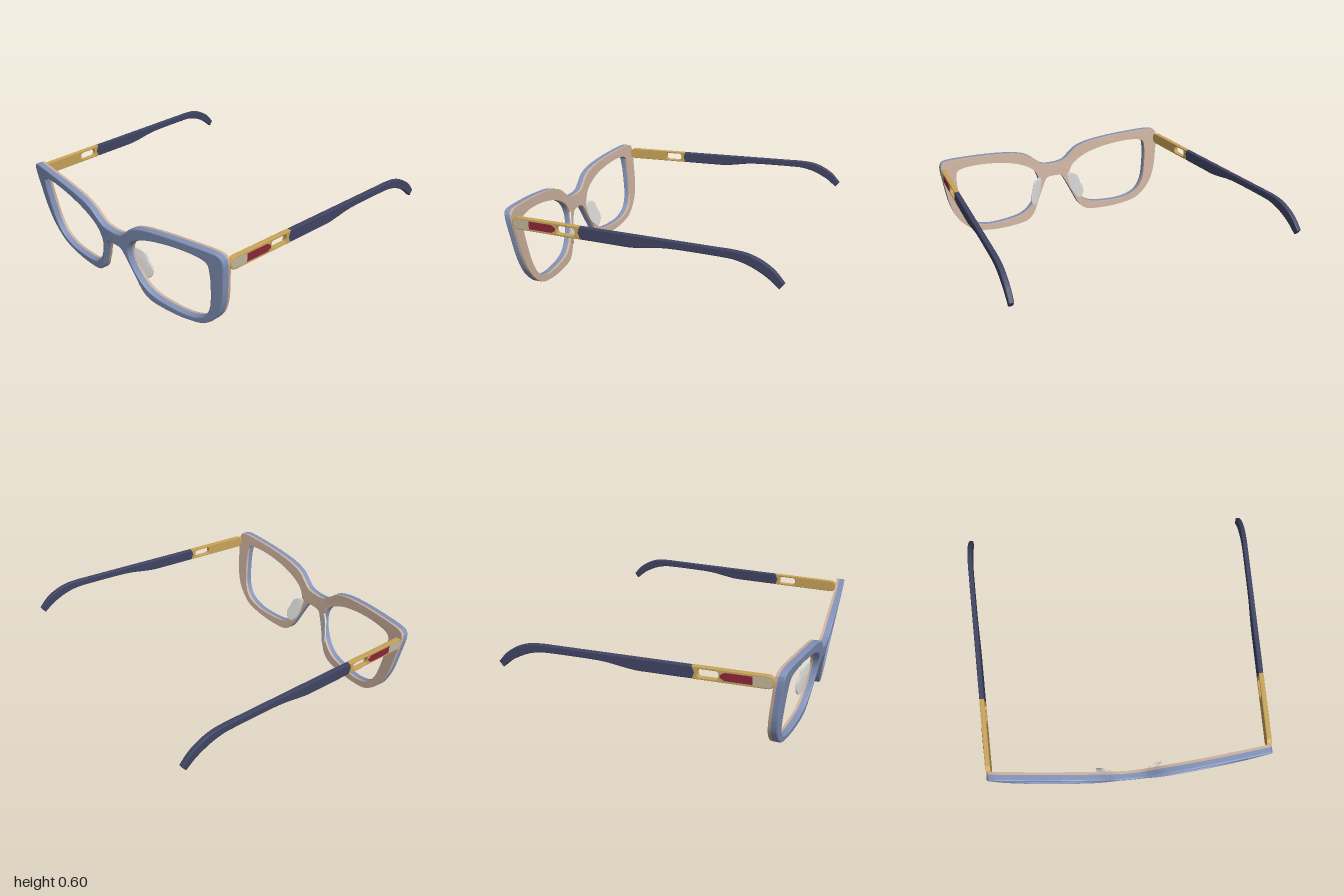
import * as THREE from 'three';
import { toCreasedNormals } from 'three/addons/utils/BufferGeometryUtils.js';

const mat = (name, color) => {
  const m = new THREE.MeshStandardMaterial({ color });
  m.name = name;
  return m;
};
const vecs = (pts) => pts.map(([x, y]) => new THREE.Vector2(x, y));

// Smooth closed loop through a few points
function loop(pts, count) {
  const curve = new THREE.CatmullRomCurve3(pts.map(([x, y]) => new THREE.Vector3(x, y, 0)), true);
  return curve.getSpacedPoints(count).slice(0, -1).map((p) => new THREE.Vector2(p.x, p.y));
}

// Extrusion from z = 0 to z = thick, with its bevel kept inside the outline
function slab(shape, thick, bevel = 0) {
  const geo = new THREE.ExtrudeGeometry(shape, {
    depth: thick - 2 * bevel, bevelEnabled: bevel > 0, bevelSize: bevel,
    bevelThickness: bevel, bevelOffset: -bevel, bevelSegments: 2, curveSegments: 12,
  });
  return geo.translate(0, 0, bevel);
}

// Halve every edge longer than max, so that flat faces can be curved
function refine(geo, max) {
  const p = geo.attributes.position;
  const out = [];
  const split = (tri) => {
    const len = tri.map((v, i) => v.distanceToSquared(tri[(i + 1) % 3]));
    const k = len.indexOf(Math.max(...len));
    if (len[k] <= max * max) {
      tri.forEach((v) => out.push(v));
      return;
    }
    const a = tri[k], b = tri[(k + 1) % 3], c = tri[(k + 2) % 3];
    const mid = a.clone().add(b).multiplyScalar(0.5);
    split([a, mid, c]);
    split([mid, b, c]);
  };
  for (let i = 0; i < p.count; i += 3) {
    split([0, 1, 2].map((j) => new THREE.Vector3().fromBufferAttribute(p, i + j)));
  }
  return new THREE.BufferGeometry().setFromPoints(out);
}

// Move every vertex by a rule
function warp(geo, rule) {
  const p = geo.attributes.position;
  const v = new THREE.Vector3();
  for (let i = 0; i < p.count; i++) {
    rule(v.fromBufferAttribute(p, i));
    p.setXYZ(i, v.x, v.y, v.z);
  }
  geo.computeVertexNormals();
  return toCreasedNormals(geo, 0.35);
}

export function createModel() {
  const model = new THREE.Group();
  model.name = 'eyeglasses';
  const blue = mat('slate blue', 0x8292b8);
  const beige = mat('warm beige', 0xcbb09e);
  const navy = mat('dark navy', 0x404462);
  const gold = mat('brushed gold', 0xc8a45a);
  const red = mat('crimson', 0x8a2638);
  const silver = mat('pale champagne', 0xc0b59e);
  const clear = mat('pad grey', 0xdcdcda);

  const add = (parent, name, geo, material) => {
    const mesh = new THREE.Mesh(geo, material);
    mesh.name = name;
    parent.add(mesh);
  };

  // Frame front: half outline mirrored, with two lens openings
  const half = [
    [0.09, 0.44], [0.135, 0.472], [0.2, 0.523], [0.3, 0.558], [0.47, 0.583], [0.68, 0.599], [0.85, 0.604],
    [0.89, 0.596], [0.907, 0.565], [0.895, 0.42], [0.87, 0.27], [0.82, 0.152], [0.71, 0.048],
    [0.58, 0.012], [0.42, 0], [0.26, 0.015], [0.205, 0.055], [0.15, 0.162], [0.095, 0.275], [0.062, 0.325],
  ];
  const lens = [
    [0.8, 0.46], [0.788, 0.515], [0.71, 0.535], [0.47, 0.52], [0.27, 0.467], [0.165, 0.4], [0.13, 0.325],
    [0.142, 0.24], [0.205, 0.133], [0.285, 0.073], [0.42, 0.05], [0.605, 0.057], [0.71, 0.103],
    [0.765, 0.185], [0.793, 0.33],
  ];
  const flip = (pts) => pts.map(([x, y]) => [-x, y]).reverse();
  const rim = new THREE.Shape(loop([[0, 0.428], ...half, [0, 0.333], ...flip(half)], 220));
  for (const pts of [lens, flip(lens)]) rim.holes.push(new THREE.Path(loop(pts, 90)));

  // Face wrap and forward tilt of the frame
  const bend = (v) => {
    v.z += 0.863 - 0.073 * Math.pow(Math.abs(v.x) / 0.9, 1.5) + 0.14 * (v.y - 0.43);
  };
  const front = new THREE.Group();
  front.name = 'frameFront';
  model.add(front);
  const frontSlab = slab(rim, 0.048, 0.008).translate(0, 0, 0.01);
  add(front, 'frontLayer', warp(refine(frontSlab, 0.08), bend), blue);
  add(front, 'backLayer', warp(refine(slab(rim, 0.018), 0.08), bend), beige);

  // Temple profiles use u = -z and v = y
  const metal = new THREE.Shape();
  metal.moveTo(-0.77, 0.491);
  metal.lineTo(-0.33, 0.491);
  metal.lineTo(-0.345, 0.531);
  metal.lineTo(-0.33, 0.571);
  metal.lineTo(-0.77, 0.571);
  metal.absarc(-0.77, 0.531, 0.04, Math.PI / 2, Math.PI * 1.5, false);
  const slot = new THREE.Path();
  slot.moveTo(-0.47, 0.505);
  slot.lineTo(-0.382, 0.505);
  slot.quadraticCurveTo(-0.364, 0.505, -0.364, 0.531);
  slot.quadraticCurveTo(-0.364, 0.557, -0.382, 0.557);
  slot.lineTo(-0.47, 0.557);
  slot.quadraticCurveTo(-0.49, 0.557, -0.49, 0.531);
  slot.quadraticCurveTo(-0.49, 0.505, -0.47, 0.505);
  metal.holes.push(slot);

  const arm = new THREE.Shape();
  arm.moveTo(-0.345, 0.531);
  arm.lineTo(-0.33, 0.491);
  arm.lineTo(-0.02, 0.491);
  arm.splineThru(vecs([[0.03, 0.494], [0.1, 0.504], [0.2, 0.519], [0.32, 0.525], [0.57, 0.525], [0.65, 0.519],
    [0.73, 0.497], [0.815, 0.455], [0.865, 0.418], [0.898, 0.39]]));
  arm.lineTo(0.925, 0.426);
  arm.splineThru(vecs([[0.865, 0.491], [0.79, 0.538], [0.71, 0.565], [0.62, 0.573], [0.56, 0.573]]));
  arm.lineTo(-0.33, 0.571);

  const inlay = new THREE.Shape(vecs([[-0.685, 0.506], [-0.525, 0.506], [-0.498, 0.523], [-0.498, 0.539],
    [-0.525, 0.556], [-0.685, 0.556]]));
  const cap = new THREE.Shape();
  cap.moveTo(-0.77, 0.501);
  cap.lineTo(-0.685, 0.501);
  cap.lineTo(-0.685, 0.561);
  cap.lineTo(-0.77, 0.561);
  cap.absarc(-0.77, 0.531, 0.03, Math.PI / 2, Math.PI * 1.5, false);

  const padOutline = loop([[0.115, 0.33], [0.15, 0.338], [0.187, 0.315], [0.205, 0.26], [0.224, 0.21],
    [0.222, 0.16], [0.196, 0.122], [0.16, 0.15], [0.125, 0.23]], 48);

  for (const side of [1, -1]) {
    const label = side > 0 ? 'left' : 'right';
    const temple = new THREE.Group();
    temple.name = label + 'Temple';
    model.add(temple);

    // Stand a profile upright and splay it outward toward the tip
    const place = (shape, thick, bevel, offset) => warp(
      slab(shape, thick, bevel).translate(0, 0, -thick / 2).rotateY(Math.PI / 2),
      (v) => { v.x += side * (0.897 + offset + 0.05 * (0.81 - v.z)); });
    add(temple, 'metalEnd', place(metal, 0.032, 0.004, 0), gold);
    add(temple, 'arm', place(arm, 0.032, 0.006, 0), navy);
    add(temple, 'inlay', place(inlay, 0.006, 0, 0.016), red);
    add(temple, 'endPlate', place(cap, 0.004, 0, 0.0155), silver);

    // Nose pad angled back from the inner rim
    const padShape = new THREE.Shape(padOutline.map((p) => new THREE.Vector2(side * p.x, p.y)));
    add(model, label + 'NosePad', warp(slab(padShape, 0.014, 0.004), (v) => {
      v.z += 0.835 - 0.5 * (Math.abs(v.x) - 0.12) + 0.06 * (v.y - 0.25);
    }), clear);
  }
  return model;
}
